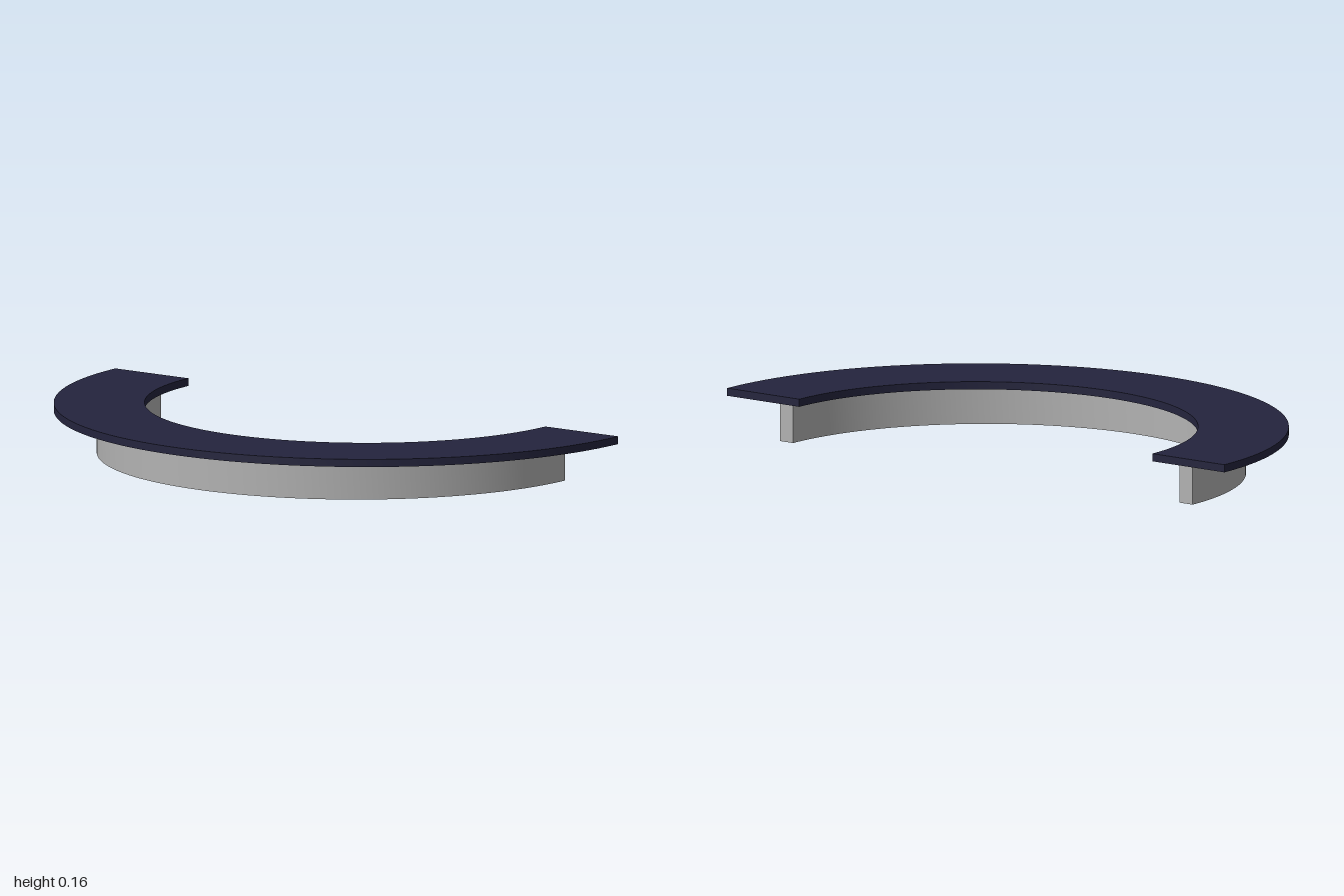
import * as THREE from 'three';
import { toCreasedNormals } from 'three/addons/utils/BufferGeometryUtils.js';

// Half ring bulging towards +z, standing between two heights
function halfRing(name, material, { inner, outer, bottom, top, x, z }) {
  const shape = new THREE.Shape();
  shape.absarc(0, 0, outer, 0, Math.PI, false);
  shape.absarc(0, 0, inner, Math.PI, 0, true);
  shape.closePath();
  const extruded = new THREE.ExtrudeGeometry(shape, {
    depth: top - bottom, bevelEnabled: false, curveSegments: 48,
  });
  extruded.rotateX(Math.PI / 2);
  extruded.translate(x, top, z);
  const mesh = new THREE.Mesh(toCreasedNormals(extruded, Math.PI / 6), material);
  mesh.name = name;
  return mesh;
}

export function createModel() {
  const navy = new THREE.MeshStandardMaterial({ color: 0x24243d });
  navy.name = 'navy top';
  const grey = new THREE.MeshStandardMaterial({ color: 0xb2b2b2 });
  grey.name = 'light grey wall';

  const group = new THREE.Group();
  group.name = 'curvedCounter';

  // Flat curved top
  group.add(halfRing('counterTop', navy, {
    inner: 0.71, outer: 1, bottom: 0.132, top: 0.157, x: 0, z: -0.5,
  }));

  // Narrow curved wall carrying the top, set slightly forward and off centre
  group.add(halfRing('supportWall', grey, {
    inner: 0.777, outer: 0.83, bottom: 0, top: 0.134, x: -0.01, z: -0.458,
  }));

  return group;
}
